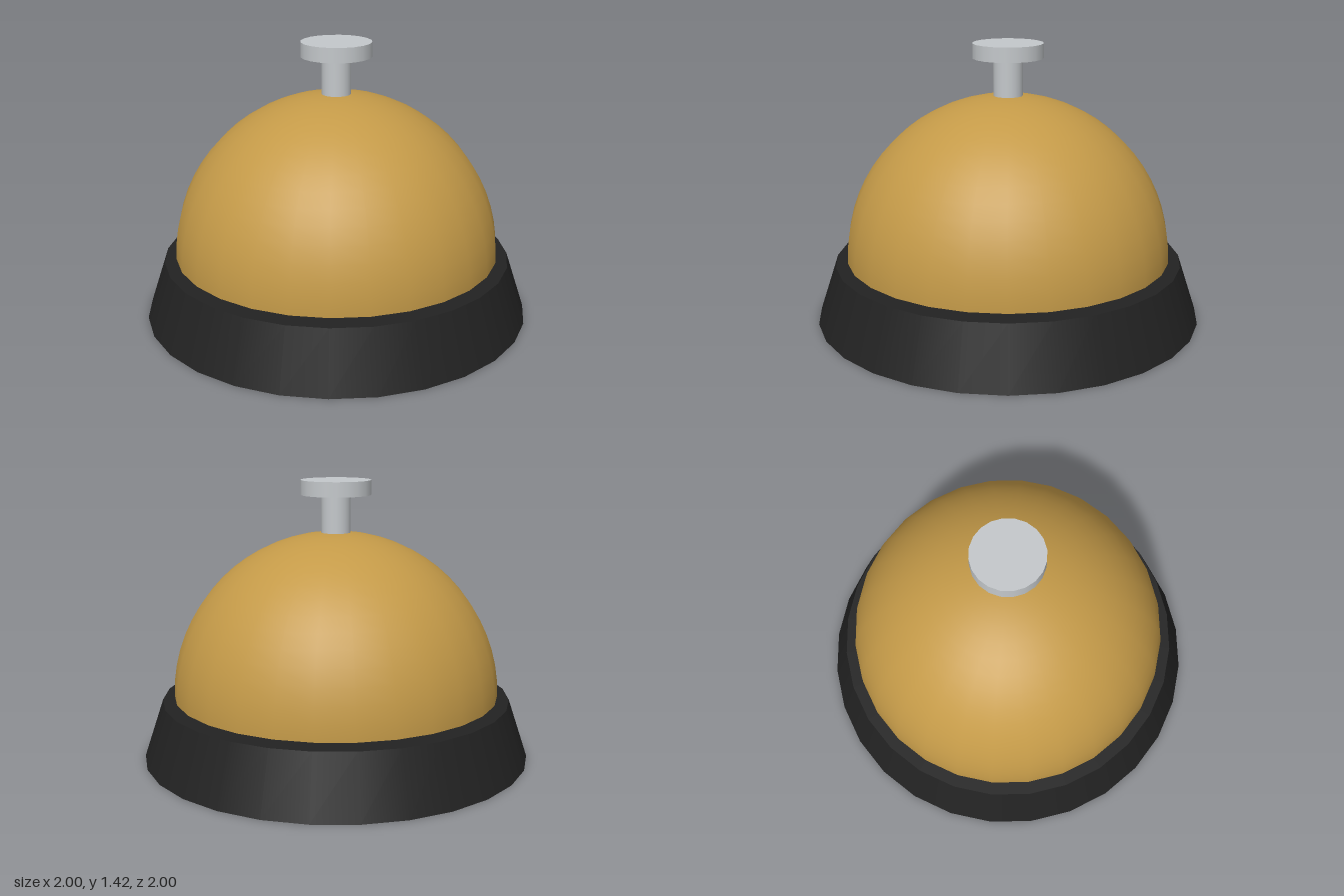
import * as THREE from 'three';

export function createModel() {
  const group = new THREE.Group();
  const material = (name, color, side = THREE.FrontSide) => {
    const m = new THREE.MeshStandardMaterial({ color, side });
    m.name = name;
    return m;
  };
  const black = material('black', 0x222222);
  const brass = material('brass', 0xc49a48, THREE.DoubleSide);
  const steel = material('steel', 0xc4c8cb);

  const add = (name, geometry, mat, y) => {
    const mesh = new THREE.Mesh(geometry, mat);
    mesh.name = name;
    mesh.position.y = y;
    group.add(mesh);
  };

  // Tapered foot
  add('base', new THREE.CylinderGeometry(0.9, 1, 0.3, 28), black, 0.15);

  // Hollow hemisphere, open underneath and floating just above the foot
  add('bellDome', new THREE.SphereGeometry(0.84, 28, 16, 0, Math.PI * 2, 0, Math.PI / 2), brass, 0.32);

  // Plunger: stem rising out of the dome, with a flat button
  add('plungerStem', new THREE.CylinderGeometry(0.075, 0.075, 0.22, 20), steel, 1.24);
  add('plungerButton', new THREE.CylinderGeometry(0.18, 0.18, 0.075, 20), steel, 1.385);

  return group;
}
